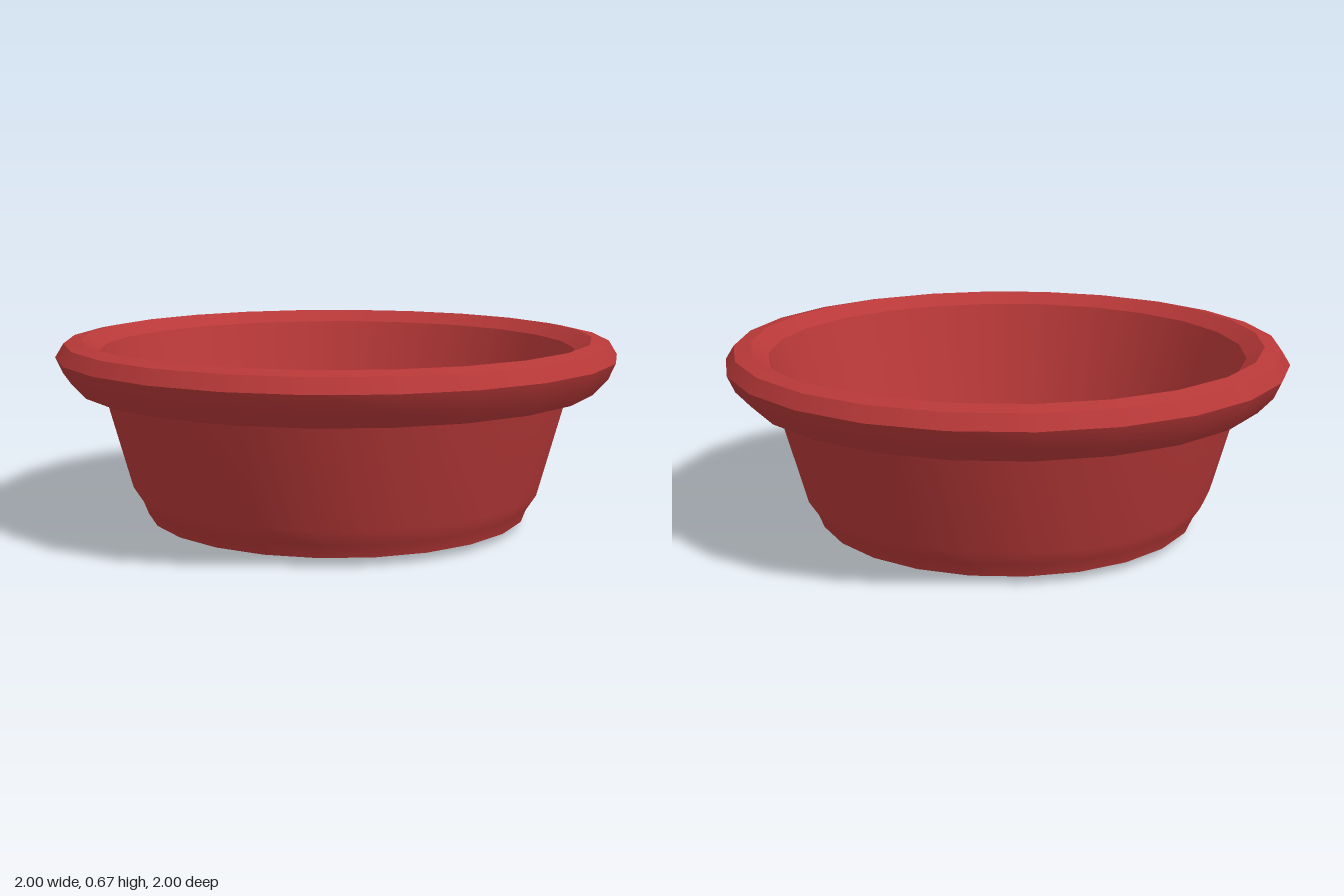
import * as THREE from 'three';

const SIDES = 24;

export function createModel() {
  const group = new THREE.Group();
  group.name = 'bowl';
  const red = new THREE.MeshStandardMaterial({ color: 0xb83838 });
  red.name = 'red glaze';

  // Each band is smooth inside and meets its neighbours at a sharp edge.
  // Profiles run from the base, up the outside, over the lip and down inside.
  const bands = {
    base: [[0, 0], [0.6, 0.004], [0.69, 0.03]],
    outerWall: [[0.69, 0.03], [0.707, 0.075], [0.742, 0.13], [0.838, 0.49]],
    lipUnderside: [[0.838, 0.49], [0.925, 0.495]],
    lipOuterCurve: [[0.925, 0.495], [0.975, 0.55], [1, 0.607]],
    lipUpperBevel: [[1, 0.607], [0.97, 0.655]],
    lipTop: [[0.97, 0.655], [0.91, 0.667]],
    lipInnerBevel: [[0.91, 0.667], [0.85, 0.625]],
    innerWall: [[0.85, 0.625], [0.7, 0.185]],
    innerFloor: [[0.7, 0.185], [0.6, 0.165], [0, 0.16]],
  };

  for (const [name, profile] of Object.entries(bands)) {
    const points = profile.map(([r, y]) => new THREE.Vector2(r, y));
    const mesh = new THREE.Mesh(new THREE.LatheGeometry(points, SIDES), red);
    mesh.name = name;
    group.add(mesh);
  }
  return group;
}
